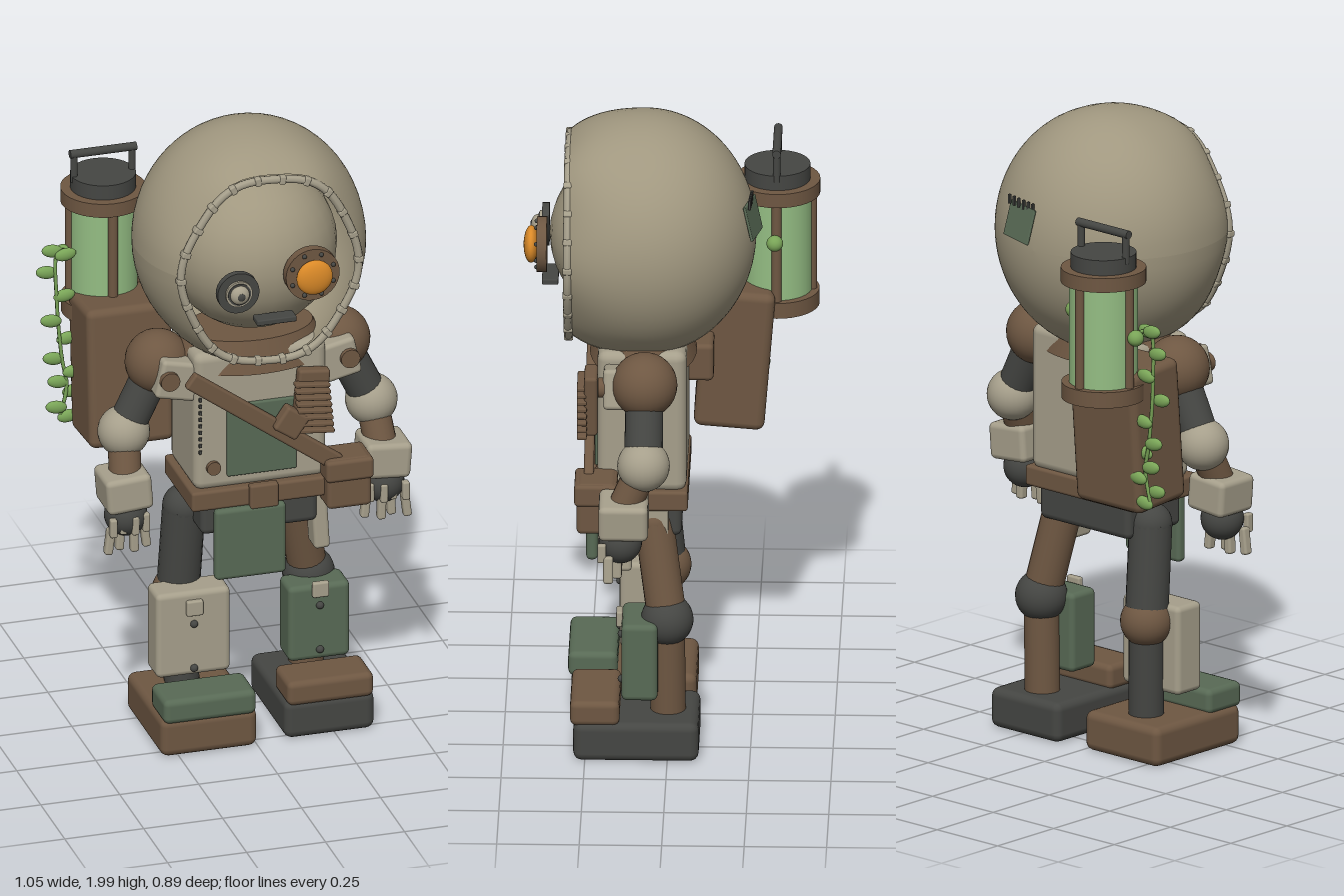
import * as THREE from 'three';
import { RoundedBoxGeometry } from 'three/addons/geometries/RoundedBoxGeometry.js';

const mat = (name, color, side = THREE.FrontSide) => {
  const m = new THREE.MeshStandardMaterial({ color, side });
  m.name = name;
  return m;
};

export function createModel() {
  const root = new THREE.Group();
  root.name = 'explorerRobot';
  const shell = mat('shell', 0xa0977f, THREE.DoubleSide);
  const bone = mat('bone', 0xa69f8b);
  const brown = mat('brown', 0x6e5742);
  const dark = mat('dark', 0x454643);
  const green = mat('green', 0x586a55);
  const leaf = mat('leaf', 0x79a457);
  const glass = mat('glass', 0x94bd83);
  const orange = mat('orange', 0xdb8a28);
  const CX = 0.035; // mirror plane of the body

  const V = (x, y, z) => new THREE.Vector3(x, y, z);
  const add = (name, geo, m, x = 0, y = 0, z = 0, parent = root) => {
    const mesh = new THREE.Mesh(geo, m);
    mesh.name = name;
    mesh.position.set(x, y, z);
    parent.add(mesh);
    return mesh;
  };
  const box = (name, m, w, h, d, x, y, z, r = 0.015) =>
    add(name, new RoundedBoxGeometry(w, h, d, 2, Math.min(r, w * 0.45, h * 0.45, d * 0.45)), m, x, y, z);
  const ball = (name, m, r, x, y, z, sx = 1, sy = 1, sz = 1) => {
    const b = add(name, new THREE.SphereGeometry(r, 28, 18), m, x, y, z);
    b.scale.set(sx, sy, sz);
    return b;
  };
  const cyl = (name, m, r, h, x, y, z) => add(name, new THREE.CylinderGeometry(r, r, h, 32), m, x, y, z);
  // disc facing forward
  const disc = (name, m, r, d, x, y, z) => {
    const c = cyl(name, m, r, d, x, y, z);
    c.rotation.x = Math.PI / 2;
    return c;
  };
  const limb = (name, m, a, b, r0, r1 = r0) => {
    const dir = b.clone().sub(a);
    const c = add(name, new THREE.CylinderGeometry(r1, r0, dir.length(), 20), m);
    c.position.copy(a).lerp(b, 0.5);
    c.quaternion.setFromUnitVectors(V(0, 1, 0), dir.normalize());
    return c;
  };

  // Hood: sphere cut open at the front, slightly flared and lumpy at the opening
  const HY = 1.62, HZ = 0.075, RX = 0.355, RY = 0.378, RZ = 0.337, CUT = 0.835;
  const lump = (a, t) => 1 + t * t * 0.02 * Math.cos(6 * a + 0.4);
  const hood = new THREE.SphereGeometry(1, 60, 36, 0, Math.PI * 2, CUT, Math.PI - CUT).rotateX(Math.PI / 2);
  const p = hood.attributes.position;
  for (let i = 0; i < p.count; i++) {
    const t = Math.max(0, p.getZ(i)) / Math.cos(CUT);
    const k = lump(Math.atan2(p.getY(i), p.getX(i)), t);
    p.setXYZ(i, p.getX(i) * RX * k * (1 + 0.05 * t * t), p.getY(i) * RY * k * (1 + 0.11 * t * t), p.getZ(i) * RZ);
  }
  hood.computeVertexNormals();
  add('hood', hood, shell, CX, HY, HZ);

  // Rim of the hood with bindings
  const rimAt = (a) => {
    const s = Math.sin(CUT) * lump(a, 1);
    return V(CX + Math.cos(a) * RX * s * 1.05, HY - 0.012 + Math.sin(a) * RY * s * 1.1, HZ + RZ * Math.cos(CUT) + 0.003);
  };
  const rimPts = Array.from({ length: 36 }, (_, i) => rimAt((i / 36) * Math.PI * 2));
  add('hoodRim', new THREE.TubeGeometry(new THREE.CatmullRomCurve3(rimPts, true), 90, 0.013, 8, true), bone);
  for (let i = 0; i < 22; i++) {
    const a = (i / 22) * Math.PI * 2, q = rimAt(a);
    box('rimBinding', bone, 0.028, 0.02, 0.028, q.x, q.y, q.z, 0.005).rotation.z = a;
  }

  // Face
  ball('face', shell, 0.263, CX, 1.612, 0.102);
  disc('rightEyePlate', dark, 0.066, 0.022, -0.09, 1.585, 0.379);
  disc('rightEyeRing', bone, 0.042, 0.012, -0.09, 1.585, 0.392);
  disc('rightEyeSocket', dark, 0.036, 0.012, -0.09, 1.585, 0.395);
  ball('rightEyeLens', bone, 0.03, -0.09, 1.585, 0.403, 1, 1, 0.7);
  ball('rightPupil', dark, 0.013, -0.09, 1.585, 0.42, 1, 1, 0.5);
  disc('leftEyePlate', brown, 0.085, 0.03, 0.142, 1.62, 0.385);
  ball('leftEyeLens', orange, 0.057, 0.142, 1.62, 0.418, 1, 1, 0.4);
  for (let i = 0; i < 8; i++) {
    const a = ((i + 0.5) / 8) * Math.PI * 2;
    ball('eyeRivet', dark, 0.007, 0.142 + 0.07 * Math.cos(a), 1.62 + 0.07 * Math.sin(a), 0.401);
  }
  box('mouth', dark, 0.125, 0.018, 0.05, 0.033, 1.473, 0.362, 0.004);

  // Patch and scar on the hood
  const patch = box('hoodPatch', green, 0.125, 0.11, 0.009, 0.1, 1.695, -0.253, 0.003);
  patch.rotation.set(0.24, -0.2, 0.1);
  for (let i = 0; i < 6; i++)
    box('patchStitch', dark, 0.008, 0.03, 0.009, 0.05 + i * 0.02, 1.748 + i * 0.002, -0.249 + i * 0.001, 0.002);
  ball('hoodScar', brown, 0.014, -0.265, 1.74, 0.19);

  // Torso
  box('torso', bone, 0.42, 0.46, 0.27, CX, 1.075, 0.08, 0.03);
  const collar = add('collar', new THREE.CylinderGeometry(0.2, 0.25, 0.1, 36), brown, CX, 1.28, 0.08);
  collar.scale.z = 0.65;
  box('chestPanel', green, 0.22, 0.24, 0.02, 0.035, 1.01, 0.215, 0.006);
  for (let i = 0; i < 11; i++) box('chestStitch', dark, 0.01, 0.012, 0.008, -0.158, 0.98 + i * 0.022, 0.215, 0.002);
  disc('chestButton', brown, 0.022, 0.02, -0.118, 0.925, 0.218);
  const strap = box('shoulderStrap', brown, 0.58, 0.055, 0.03, 0.035, 1.07, 0.24, 0.008);
  strap.rotation.z = -0.63;
  box('strapBuckle', brown, 0.085, 0.085, 0.045, 0.115, 1.065, 0.255, 0.01).rotation.z = -0.6;
  box('chestPouch', brown, 0.1, 0.2, 0.04, 0.185, 1.125, 0.235, 0.01).rotation.z = -0.1;
  for (let i = 0; i < 8; i++)
    box('pouchRib', brown, 0.11, 0.013, 0.03, 0.195 - i * 0.002, 1.03 + i * 0.022, 0.262, 0.004).rotation.z = -0.1;

  // Belt, pelvis and hanging pieces
  box('belt', brown, 0.45, 0.065, 0.295, CX, 0.822, 0.088, 0.01);
  box('beltBuckle', brown, 0.09, 0.08, 0.03, CX, 0.822, 0.237, 0.008);
  box('pelvis', dark, 0.37, 0.12, 0.24, CX, 0.75, 0.08, 0.02);
  box('frontFlap', green, 0.225, 0.235, 0.035, -0.008, 0.675, 0.235, 0.014);
  box('hipPouch', brown, 0.14, 0.165, 0.12, 0.298, 0.84, 0.215, 0.015);
  box('hipPouchFlap', brown, 0.15, 0.07, 0.13, 0.298, 0.885, 0.217, 0.012);
  box('hipCloth', bone, 0.05, 0.2, 0.08, 0.232, 0.69, 0.15, 0.012).rotation.z = 0.06;
  box('hipClothBack', bone, 0.012, 0.12, 0.12, 0.235, 0.735, 0.06, 0.004);

  // Arms, mirrored about the body centre
  for (const s of [-1, 1]) {
    const X = (d) => CX + s * d;
    const shoulder = V(X(0.285), 1.235, 0.07), elbow = V(X(0.392), 1.015, 0.07), wrist = V(X(0.405), 0.88, 0.13);
    ball('shoulder', brown, 0.1, ...shoulder);
    box('shoulderPad', bone, 0.13, 0.125, 0.09, X(0.252), 1.215, 0.15, 0.014).rotation.z = s * 0.22;
    disc('shoulderBolt', brown, 0.03, 0.02, X(0.285), 1.225, 0.2);
    limb('upperArm', dark, shoulder, elbow, 0.058);
    ball('elbow', bone, 0.08, ...elbow);
    limb('forearm', brown, elbow, wrist, 0.05);
    box('cuff', bone, 0.145, 0.115, 0.15, X(0.41), 0.858, 0.13, 0.018).rotation.z = -s * 0.08;
    ball('hand', dark, 0.066, X(0.407), 0.77, 0.14);
    [-0.058, -0.015, 0.022, 0.062].forEach((o, i) => {
      const f = box('finger', bone, 0.026, 0.085, 0.03, X(0.407 + o), 0.703, 0.15 + (i % 2) * 0.025, 0.008);
      f.rotation.z = s * o * 2;
      box('knuckle', bone, 0.022, 0.06, 0.026, X(0.407 + o * 0.9), 0.755, 0.18 + (i % 2) * 0.015, 0.006);
    });
  }

  // Legs: hip, knee, ankle, radius and the alternating colours
  const legs = [
    { hip: V(-0.16, 0.73, 0.05), knee: V(-0.17, 0.43, 0.02), ankle: V(-0.16, 0.1, 0.03), r: 0.066, bone: dark, joint: brown,
      plate: bone, pw: 0.235, ph: 0.28, px: -0.16, py: 0.345, pz: 0.1, foot: brown, cap: green, fx: -0.153, fw: 0.305, fz: 0.11 },
    { hip: V(0.19, 0.73, 0.045), knee: V(0.248, 0.43, 0.003), ankle: V(0.24, 0.1, 0), r: 0.06, bone: brown, joint: dark,
      plate: green, pw: 0.195, ph: 0.25, px: 0.243, py: 0.32, pz: 0.085, foot: dark, cap: brown, fx: 0.233, fw: 0.285, fz: 0.095 },
  ];
  for (const l of legs) {
    limb('thigh', l.bone, l.hip, l.knee, l.r);
    ball('hipJoint', l.bone, l.r, ...l.hip);
    ball('knee', l.joint, 0.08, ...l.knee);
    limb('shin', l.bone, l.knee, l.ankle, 0.054);
    box('shinPlate', l.plate, l.pw, l.ph, 0.11, l.px, l.py, l.pz, 0.018);
    box('kneeTab', bone, 0.052, 0.05, 0.02, l.px, 0.435, l.pz + 0.062, 0.006);
    for (const y of [0.378, 0.23]) ball('shinRivet', dark, 0.012, l.px, y, l.pz + 0.056);
    box('foot', l.foot, l.fw, 0.125, 0.38, l.fx, 0.072, l.fz, 0.026);
    box('toeCap', l.cap, l.fw - 0.012, 0.08, 0.15, l.fx, 0.163, l.fz + 0.125, 0.02);
  }

  // Backpack with a glass plant tank
  box('backpack', brown, 0.27, 0.45, 0.215, -0.285, 1.108, -0.19, 0.025).rotation.x = -0.08;
  box('packBracket', brown, 0.2, 0.12, 0.12, -0.14, 1.15, -0.07);
  const TX = -0.305, TZ = -0.317;
  cyl('tankGlass', glass, 0.105, 0.36, TX, 1.445, TZ);
  cyl('tankBase', brown, 0.128, 0.05, TX, 1.266, TZ);
  cyl('tankCollar', brown, 0.13, 0.045, TX, 1.63, TZ);
  cyl('tankLid', dark, 0.1, 0.05, TX, 1.675, TZ);
  for (let i = 0; i < 4; i++) {
    const a = (i * Math.PI) / 2;
    cyl('tankBar', brown, 0.015, 0.36, TX + 0.105 * Math.cos(a), 1.445, TZ + 0.105 * Math.sin(a));
  }
  limb('handleBar', dark, V(TX - 0.105, 1.773, TZ), V(TX + 0.105, 1.773, TZ), 0.013);
  for (const s of [-1, 1]) {
    limb('handlePost', dark, V(TX + s * 0.092, 1.68, TZ), V(TX + s * 0.092, 1.773, TZ), 0.011);
    ball('tankBud', leaf, 0.025, TX + s * 0.128, s > 0 ? 1.49 : 1.45, TZ + 0.005);
  }

  // Hanging vine with alternating leaves
  const vine = new THREE.CatmullRomCurve3([V(-0.42, 1.46, -0.3), V(-0.46, 1.47, -0.28), V(-0.465, 1.3, -0.27),
    V(-0.45, 1.12, -0.27), V(-0.435, 1.02, -0.27), V(-0.455, 0.92, -0.27)]);
  add('vineStem', new THREE.TubeGeometry(vine, 40, 0.006, 6), leaf);
  for (let i = 0; i < 12; i++) {
    const q = vine.getPoint(0.14 + (i / 11) * 0.86), s = i % 2 ? 1 : -1;
    const f = ball('vineLeaf', leaf, 0.034, q.x + s * 0.025, q.y, q.z + 0.012 * Math.sin(i * 2), 1, 0.6, 0.4);
    f.rotation.z = s * 0.15;
  }
  return root;
}
